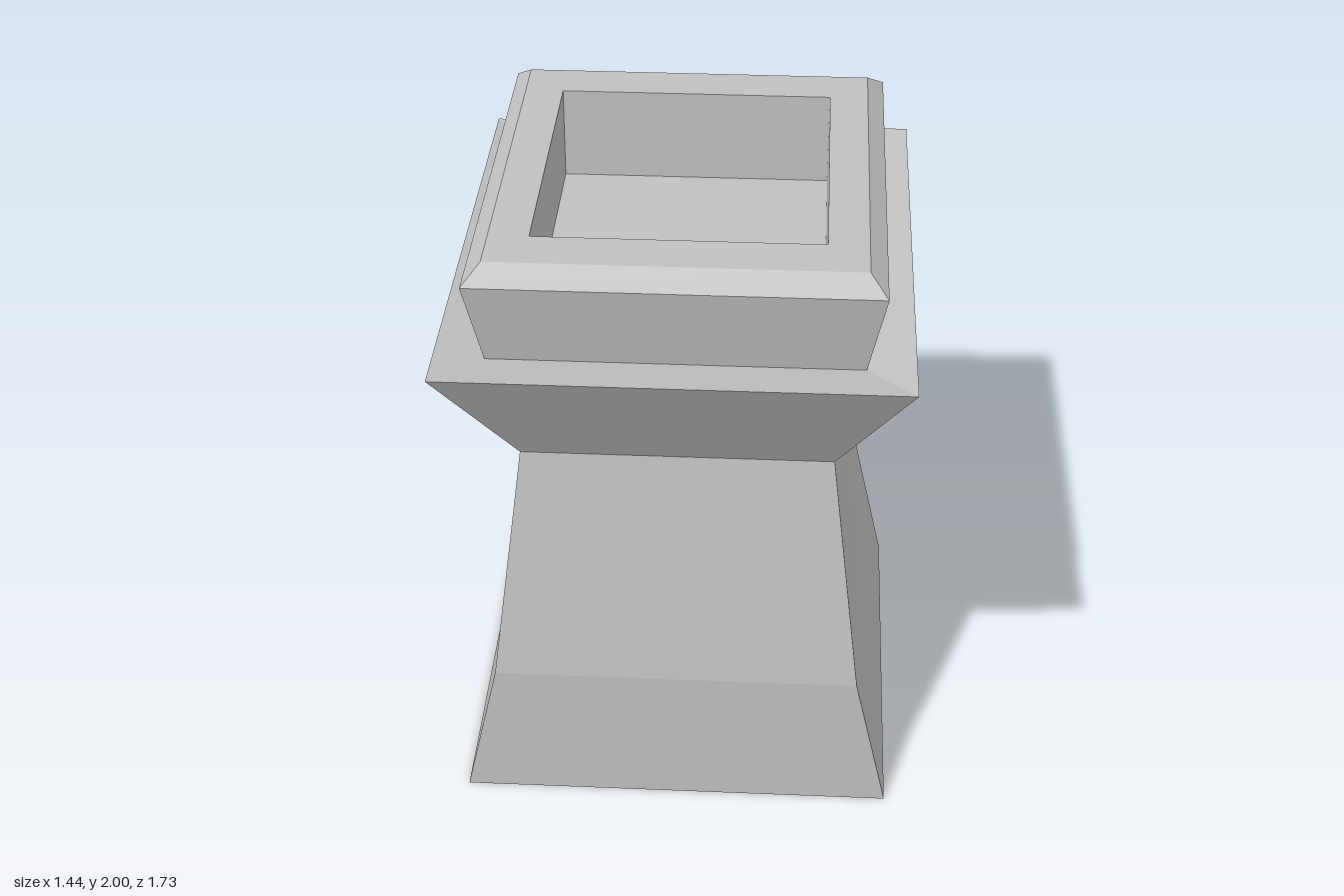
import * as THREE from 'three';

// Joins rectangular rings [halfWidth, y, halfDepth] into flat-sided bands;
// a ring of zero size closes the band to a point.
function rectBands(rings) {
  const corners = [[1, 1], [1, -1], [-1, -1], [-1, 1]];
  const positions = [];
  const point = ([w, y, d], i) => [corners[i % 4][0] * w, y, corners[i % 4][1] * d];
  for (let r = 0; r < rings.length - 1; r++) {
    const from = rings[r], to = rings[r + 1];
    for (let i = 0; i < 4; i++) {
      const a = point(from, i), b = point(from, i + 1);
      const c = point(to, i + 1), d = point(to, i);
      if (from[0] > 0) positions.push(...a, ...b, ...c);
      if (to[0] > 0) positions.push(...a, ...c, ...d);
    }
  }
  const geometry = new THREE.BufferGeometry();
  geometry.setAttribute('position', new THREE.Float32BufferAttribute(positions, 3));
  geometry.computeVertexNormals();
  return geometry;
}

export function createModel() {
  const model = new THREE.Group();
  model.name = 'stonePedestal';
  const stone = new THREE.MeshStandardMaterial({ color: 0xc0c0c0 });
  stone.name = 'grey stone';

  const parts = {
    // closed underside and flared foot
    foot: [[0, 0, 0], [0.70, 0, 0.71], [0.59, 0.485, 0.71]],
    // tapering shaft
    shaft: [[0.59, 0.485, 0.71], [0.49, 1.285, 0.593]],
    // wide collar with a ledge dipping inwards
    collar: [[0.49, 1.285, 0.593], [0.72, 1.71, 0.867], [0.572, 1.675, 0.675]],
    // bevelled cap and its flat rim
    cap: [[0.572, 1.675, 0.675], [0.625, 1.95, 0.733], [0.57, 2, 0.66], [0.445, 2, 0.5]],
    // recess walls and floor
    recess: [[0.445, 2, 0.5], [0.445, 1.69, 0.5], [0, 1.69, 0]],
  };
  for (const [name, rings] of Object.entries(parts)) {
    const mesh = new THREE.Mesh(rectBands(rings), stone);
    mesh.name = name;
    model.add(mesh);
  }
  return model;
}
